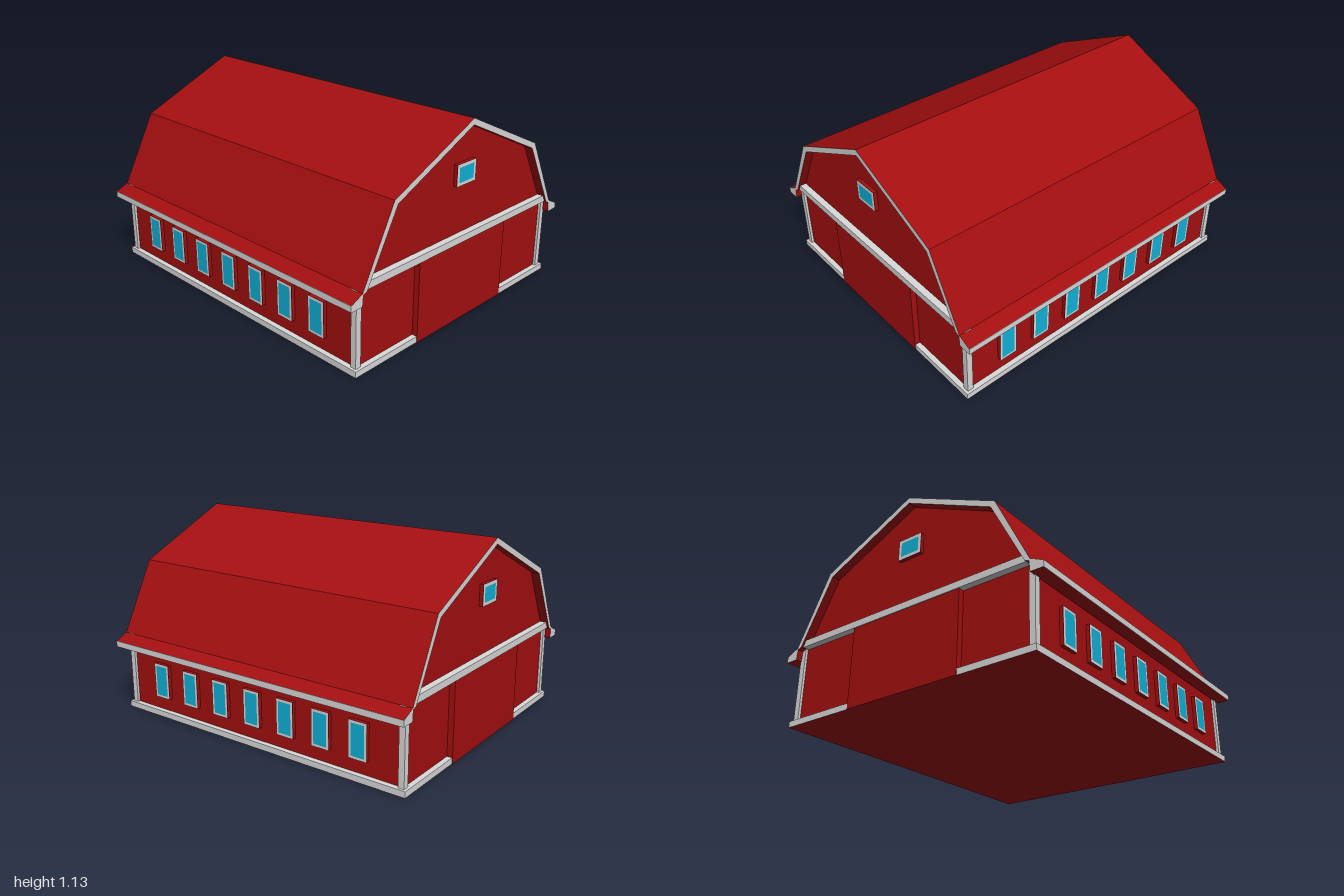
import * as THREE from 'three';

export function createModel() {
  const barn = new THREE.Group();
  barn.name = 'barn';
  const mat = (name, color) => {
    const m = new THREE.MeshStandardMaterial({ color });
    m.name = name;
    return m;
  };
  const red = mat('barnRed', 0xa50f10);
  const white = mat('trimWhite', 0xdadada);
  const blue = mat('windowBlue', 0x10b2da);
  // white trim with a red underside
  const footing = [white, white, white, red, white, white];

  const add = (parent, name, geometry, material) => {
    const mesh = new THREE.Mesh(geometry, material);
    mesh.name = name;
    parent.add(mesh);
    return mesh;
  };
  // box from its minimum and maximum corners
  const box = (parent, name, [x0, y0, z0], [x1, y1, z1], material) => {
    const mesh = add(parent, name, new THREE.BoxGeometry(x1 - x0, y1 - y0, z1 - z0), material);
    mesh.position.set((x0 + x1) / 2, (y0 + y1) / 2, (z0 + z1) / 2);
    return mesh;
  };
  // symmetric profile given by its right half, extruded along z
  const extrude = (points, depth) => {
    const shape = new THREE.Shape(points.map(([x, y]) => new THREE.Vector2(x, y)));
    return new THREE.ExtrudeGeometry(shape, { depth, bevelEnabled: false }).translate(0, 0, -depth / 2);
  };
  const mirrored = (pts) => pts.map(([x, y]) => [-x, y]).reverse();

  // walls with gambrel gables
  const wall = [[0.79, 0], [0.79, 0.44], [0.575, 0.85]];
  add(barn, 'walls', extrude([...wall, [0, 1.115], ...mirrored(wall)], 1.9), red);

  // roof shell: white ends, red slopes and soffits
  const outer = [[0.875, 0.39], [0.875, 0.425], [0.8, 0.46], [0.59, 0.865]];
  const inner = [[0.565, 0.84], [0.77, 0.46], [0.795, 0.45], [0.8, 0.39]];
  const roof = [...outer, [0, 1.135], ...mirrored(outer), ...mirrored(inner), [0, 1.1], ...inner];
  add(barn, 'roof', extrude(roof, 2), [white, red]);

  // window facing +z, centred on its group
  const makeWindow = (name, w, h, border, depth) => {
    const g = new THREE.Group();
    g.name = name;
    const rect = (T, a, b) => new T([[-a, -b], [a, -b], [a, b], [-a, b]].map((p) => new THREE.Vector2(...p)));
    box(g, 'casing', [-w / 2, -h / 2, -0.01], [w / 2, h / 2, depth], red);
    const frame = rect(THREE.Shape, w / 2, h / 2);
    frame.holes.push(rect(THREE.Path, w / 2 - border, h / 2 - border));
    add(g, 'windowFrame', new THREE.ShapeGeometry(frame), white).position.z = depth + 0.002;
    const pane = new THREE.PlaneGeometry(w - 2 * border, h - 2 * border);
    add(g, 'windowPane', pane, blue).position.z = depth + 0.002;
    barn.add(g);
    return g;
  };

  for (const s of [1, -1]) {
    const side = s > 0 ? 'left' : 'right';
    // long sides: eave fascia, base trim and windows
    const fascia = box(barn, side + 'Fascia', [-0.002, 0.39, -1], [0.002, 0.425, 1], white);
    fascia.position.x = s * 0.875;
    const base = box(barn, side + 'BaseTrim', [-0.02, 0, -0.98], [0.02, 0.035, 0.98], footing);
    base.position.x = s * 0.8;
    for (let i = -3; i <= 3; i++) {
      const w = makeWindow(side + 'Window', 0.11, 0.205, 0.014, 0.021);
      w.position.set(s * 0.79, 0.218, i * 0.232);
      w.rotation.y = s * Math.PI / 2;
    }

    // gable ends: door, band, window, posts and base trim
    const end = new THREE.Group();
    end.name = s > 0 ? 'frontEnd' : 'backEnd';
    end.rotation.y = s > 0 ? 0 : Math.PI;
    barn.add(end);
    box(end, 'slidingDoor', [-0.365, 0, 0.94], [0.365, 0.46, 0.983], red);
    box(end, 'gableBand', [-0.765, 0.46, 0.94], [0.765, 0.5, 0.988], white);
    for (const k of [1, -1]) {
      const post = box(end, 'cornerPost', [-0.0175, 0.035, 0.93], [0.0175, 0.46, 0.965], white);
      post.position.x = k * 0.7875;
      const trim = box(end, 'endBaseTrim', [-0.2075, 0, 0.94], [0.2075, 0.035, 0.98], footing);
      trim.position.x = k * 0.5725;
    }
    const gable = makeWindow('gableWindow', 0.156, 0.12, 0.018, 0.021);
    gable.position.set(0, 0.838, 0.95);
    end.add(gable);
  }
  return barn;
}
